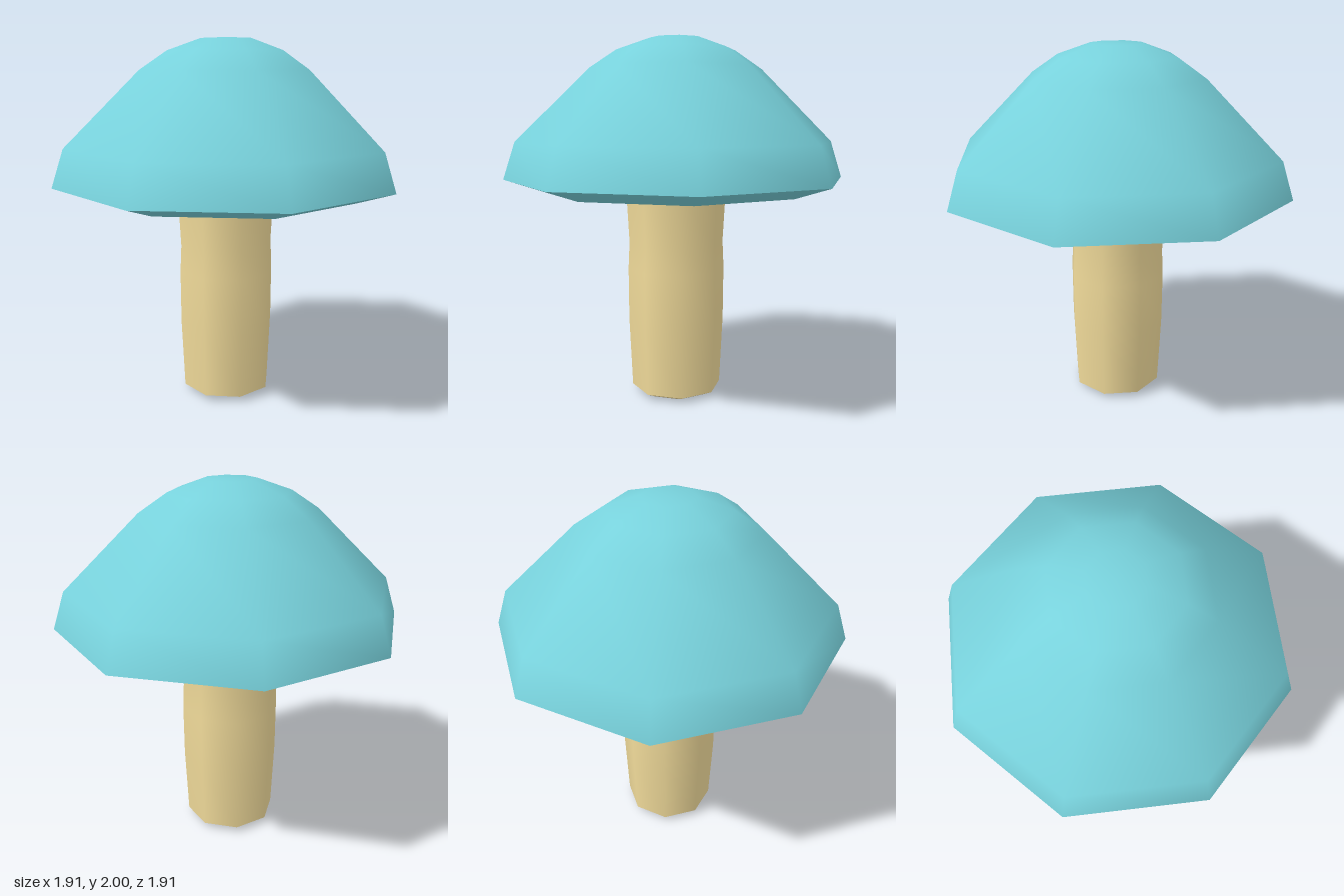
import * as THREE from 'three';

const SIDES = 8;

// Eight-sided turned part; profile runs from bottom to top as [radius, y]
function turned(name, profile, material) {
  const points = profile.map(([r, y]) => new THREE.Vector2(r, y));
  const mesh = new THREE.Mesh(new THREE.LatheGeometry(points, SIDES), material);
  mesh.name = name;
  return mesh;
}

export function createModel() {
  const capMaterial = new THREE.MeshStandardMaterial({ color: 0x78d2dc });
  const stemMaterial = new THREE.MeshStandardMaterial({ color: 0xf2dc9b });

  // Cap: dome and underside are separate so the rim stays sharp
  const cap = new THREE.Group();
  cap.name = 'cap';
  cap.add(
    turned('capDome', [
      [0.957, 1.23], [0.89, 1.435], [0.48, 1.835], [0.33, 1.935], [0.145, 2], [0, 2],
    ], capMaterial),
    turned('capUnderside', [[0, 1.165], [0.755, 1.165], [0.957, 1.23]], capMaterial),
  );

  // Stem: slightly swollen shaft with a bevelled foot
  const stem = new THREE.Group();
  stem.name = 'stem';
  stem.add(
    turned('stemShaft', [
      [0.254, 0.03], [0.272, 0.42], [0.274, 0.72], [0.267, 0.87], [0.283, 1.165],
    ], stemMaterial),
    turned('stemFoot', [[0, 0], [0.19, 0], [0.254, 0.03]], stemMaterial),
  );

  const model = new THREE.Group();
  model.name = 'mushroom';
  model.add(cap, stem);
  return model;
}
